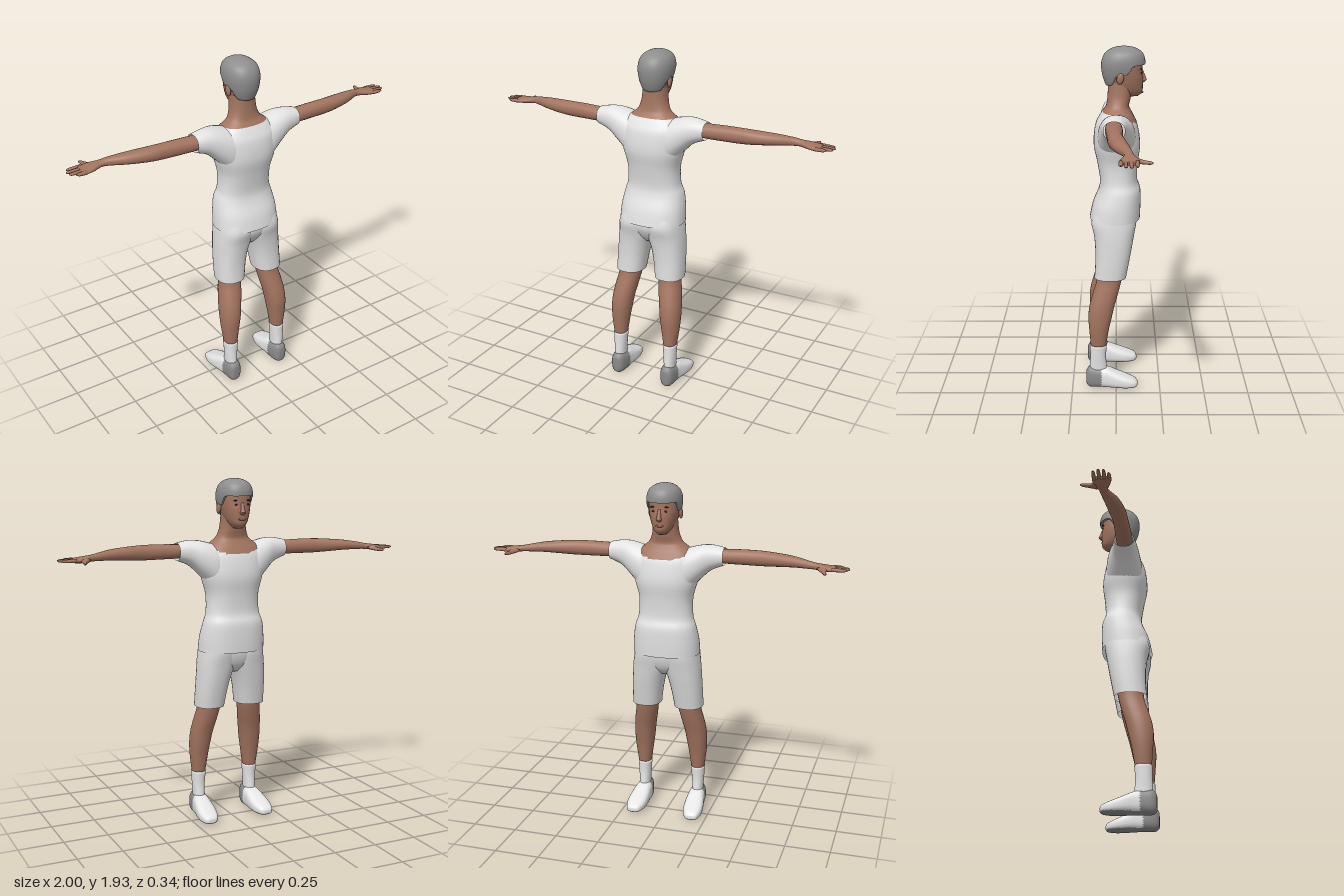
import * as THREE from 'three';

const mat = (name, color, side = THREE.DoubleSide) => {
  const m = new THREE.MeshStandardMaterial({ color, side });
  m.name = name;
  return m;
};

// Smooth interpolation of the rows of a cross-section table
function refine(rows, sub) {
  const out = [];
  const at = i => rows[Math.min(Math.max(i, 0), rows.length - 1)];
  for (let i = 0; i < rows.length - 1; i++) {
    for (let k = 0; k < sub; k++) {
      const t = k / sub;
      out.push(rows[i].map((b, c) => {
        const a = at(i - 1)[c], d = at(i + 1)[c], e = at(i + 2)[c];
        return b + 0.5 * t * (d - a + t * (2 * a - 5 * b + 4 * d - e + t * (3 * (b - d) + e - a)));
      }));
    }
  }
  out.push(rows[rows.length - 1]);
  return out;
}

// Tube through rows of [t, uMin, uMax, vMin, vMax]; t runs along the axis.
// (u, v) are (x, z) for axis y, (y, z) for axis x and (x, y) for axis z.
function loft(name, materials, rows, o = {}) {
  const { axis = 'y', side = 1, n = 28, sub = 4, p = 0.9, caps = true, pick, warp } = o;
  const rings = refine(rows, sub), pos = [], tris = [];
  const put = (u, t, v) => {
    const q = axis === 'y' ? [u, t, v] : axis === 'x' ? [t, u, v] : [u, v, t];
    if (warp) warp(q);
    pos.push(q[0] * side, q[1], q[2]);
  };
  const pow = w => Math.sign(w) * Math.abs(w) ** p;
  for (const [t, u0, u1, v0, v1] of rings) {
    for (let j = 0; j < n; j++) {
      const a = (j / n) * Math.PI * 2;
      put((u0 + u1) / 2 + (u1 - u0) / 2 * pow(Math.cos(a)), t, (v0 + v1) / 2 + (v1 - v0) / 2 * pow(Math.sin(a)));
    }
  }
  const flip = (axis !== 'y') !== (side < 0);
  const tri = (a, b, c) => tris.push(flip ? [a, c, b] : [a, b, c]);
  for (let i = 0; i < rings.length - 1; i++) {
    for (let j = 0; j < n; j++) {
      const a = i * n + j, b = i * n + (j + 1) % n;
      tri(a, a + n, b);
      tri(b, a + n, b + n);
    }
  }
  if (caps) {
    for (const i of [0, rings.length - 1]) {
      const [t, u0, u1, v0, v1] = rings[i], centre = pos.length / 3;
      put((u0 + u1) / 2, t, (v0 + v1) / 2);
      for (let j = 0; j < n; j++) {
        const a = i * n + j, b = i * n + (j + 1) % n;
        if (i === 0) tri(centre, a, b); else tri(centre, b, a);
      }
    }
  }
  const geo = new THREE.BufferGeometry();
  geo.setAttribute('position', new THREE.Float32BufferAttribute(pos, 3));
  if (pick) {
    // Sort faces into one group per material by their centre
    const sets = materials.map(() => []);
    const mid = (f, k) => (pos[f[0] * 3 + k] + pos[f[1] * 3 + k] + pos[f[2] * 3 + k]) / 3;
    for (const f of tris) sets[pick(mid(f, 0), mid(f, 1), mid(f, 2))].push(...f);
    let start = 0;
    sets.forEach((s, i) => { geo.addGroup(start, s.length, i); start += s.length; });
    geo.setIndex(sets.flat());
  } else geo.setIndex(tris.flat());
  geo.computeVertexNormals();
  const mesh = new THREE.Mesh(geo, materials);
  mesh.name = name;
  return mesh;
}

function blob(name, material, pos, scale, rot = [0, 0, 0]) {
  const m = new THREE.Mesh(new THREE.SphereGeometry(1, 16, 12), material);
  m.name = name;
  m.position.set(...pos);
  m.scale.set(...scale);
  m.rotation.set(...rot);
  return m;
}

export function createModel() {
  const g = new THREE.Group();
  g.name = 'standingMan';
  const skin = mat('skin', 0xa3745f), shirt = mat('shirtWhite', 0xe2e2e2), shorts = mat('shortsWhite', 0xdcdcdc);
  const hair = mat('hairGrey', 0x8e8e8e), shoe = mat('shoeWhite', 0xe6e6e6), heel = mat('shoeGrey', 0x8a8a8a);
  const dark = mat('browDark', 0x3a2e2a), lip = mat('lips', 0x8a5b4c);

  // Shirt body running into the neck, with a scooped neckline at the front (-z)
  g.add(loft('shirtAndNeck', [shirt, skin], [
    [0.98, -0.187, 0.187, -0.133, 0.148], [1.06, -0.183, 0.183, -0.136, 0.13], [1.14, -0.17, 0.17, -0.134, 0.098],
    [1.2, -0.152, 0.152, -0.116, 0.09], [1.3, -0.15, 0.15, -0.12, 0.105], [1.4, -0.175, 0.175, -0.132, 0.124],
    [1.5, -0.182, 0.182, -0.117, 0.115], [1.55, -0.165, 0.165, -0.096, 0.092], [1.585, -0.12, 0.12, -0.078, 0.07],
    [1.61, -0.092, 0.092, -0.07, 0.055], [1.65, -0.075, 0.075, -0.078, 0.048], [1.7, -0.068, 0.068, -0.086, 0.045],
    [1.75, -0.065, 0.065, -0.09, 0.045],
  ], { n: 48, sub: 5, caps: false, p: 0.85, pick: (x, y, z) => (y > 1.577 + 0.6 * Math.min(0, z + 0.02) ? 1 : 0) }));

  // Centre of the shorts
  g.add(loft('shortsSeat', shorts, [
    [0.86, -0.05, 0.05, -0.05, 0.07], [0.9, -0.13, 0.13, -0.088, 0.105], [0.96, -0.17, 0.17, -0.108, 0.13],
    [1.03, -0.165, 0.165, -0.11, 0.115],
  ]));

  for (const side of [1, -1]) {
    const pre = side > 0 ? 'left' : 'right';
    const add = (part, m, rows, o) => g.add(loft(pre + part, m, rows, { side, ...o }));

    add('Sleeve', shirt, [
      [0.09, 1.32, 1.57, -0.1, 0.1], [0.13, 1.345, 1.58, -0.104, 0.1], [0.19, 1.405, 1.595, -0.088, 0.09],
      [0.25, 1.46, 1.599, -0.062, 0.078], [0.322, 1.49, 1.586, -0.046, 0.066],
    ], { axis: 'x', caps: false });

    // Arm down to the palm
    add('Arm', skin, [
      [0.25, 1.51, 1.575, -0.03, 0.055], [0.32, 1.502, 1.579, -0.035, 0.058], [0.42, 1.501, 1.582, -0.035, 0.052],
      [0.52, 1.501, 1.582, -0.037, 0.045], [0.6, 1.505, 1.578, -0.05, 0.038], [0.7, 1.512, 1.57, -0.066, 0.012],
      [0.78, 1.515, 1.558, -0.079, -0.028], [0.82, 1.515, 1.55, -0.085, -0.037], [0.87, 1.51, 1.543, -0.106, -0.02],
      [0.91, 1.511, 1.537, -0.109, -0.011], [0.932, 1.515, 1.533, -0.107, -0.012],
    ], { axis: 'x', n: 20 });

    // Fingers and thumb
    [[-0.098, 0.988], [-0.071, 1], [-0.045, 0.995], [-0.021, 0.968]].forEach(([z, tip], i) =>
      add('Finger' + (i + 1), skin, [
        [0.91, 1.514, 1.536, z - 0.011, z + 0.011], [0.95, 1.516, 1.534, z - 0.01, z + 0.01],
        [tip - 0.01, 1.518, 1.532, z - 0.008, z + 0.008], [tip, 1.523, 1.528, z - 0.003, z + 0.003],
      ], { axis: 'x', n: 10, sub: 2 }));
    add('Thumb', skin, [
      [-0.172, 0.882, 0.889, 1.513, 1.519], [-0.16, 0.875, 0.892, 1.508, 1.524], [-0.125, 0.86, 0.885, 1.507, 1.528],
      [-0.09, 0.832, 0.89, 1.512, 1.538],
    ], { axis: 'z', n: 12, sub: 3 });

    add('ShortsLeg', shorts, [
      [0.66, 0.043, 0.204, -0.056, 0.122], [0.75, 0.03, 0.202, -0.073, 0.116], [0.83, 0.012, 0.198, -0.088, 0.117],
      [0.9, -0.01, 0.193, -0.1, 0.124], [0.97, -0.012, 0.183, -0.112, 0.138], [1.03, -0.01, 0.17, -0.112, 0.12],
    ], { caps: false, p: 0.85 });
    add('Leg', skin, [
      [0.25, 0.126, 0.198, 0.058, 0.144], [0.35, 0.112, 0.211, 0.042, 0.152], [0.43, 0.1, 0.215, 0.024, 0.157],
      [0.5, 0.09, 0.212, 0.008, 0.149], [0.57, 0.076, 0.202, -0.012, 0.13], [0.65, 0.062, 0.188, -0.032, 0.107],
      [0.75, 0.05, 0.185, -0.05, 0.1],
    ]);
    add('Sock', shoe, [
      [0.07, 0.132, 0.192, 0.05, 0.15], [0.13, 0.132, 0.194, 0.054, 0.15], [0.19, 0.128, 0.198, 0.058, 0.148],
      [0.26, 0.122, 0.202, 0.053, 0.149],
    ]);

    // Shoe with a grey heel counter and sole
    add('Shoe', [shoe, heel], [
      [-0.122, 0.155, 0.195, 0.015, 0.034], [-0.108, 0.135, 0.213, 0.005, 0.05], [-0.06, 0.117, 0.225, 0, 0.071],
      [0, 0.112, 0.222, 0, 0.096], [0.055, 0.115, 0.212, 0, 0.12], [0.1, 0.115, 0.207, 0, 0.123],
      [0.15, 0.125, 0.2, 0, 0.125], [0.17, 0.143, 0.183, 0.018, 0.1],
    ], { axis: 'z', n: 36, p: 0.72, pick: (x, y, z) => (z > 0.085 || y < 0.012 ? 1 : 0) });

    // Ear, eye and brow
    g.add(blob(pre + 'Ear', skin, [side * 0.085, 1.768, -0.022], [0.011, 0.032, 0.019], [-0.2, 0, 0]));
    g.add(blob(pre + 'Eye', dark, [side * 0.032, 1.79, -0.134], [0.012, 0.005, 0.004], [0, side * 0.35, 0]));
    g.add(blob(pre + 'Brow', dark, [side * 0.034, 1.812, -0.133], [0.02, 0.004, 0.005], [0, side * 0.4, 0]));
  }

  // Head, nose and mouth
  g.add(loft('head', skin, [
    [1.662, -0.025, 0.025, -0.12, -0.02], [1.685, -0.047, 0.047, -0.141, 0.02], [1.72, -0.064, 0.064, -0.144, 0.045],
    [1.76, -0.075, 0.075, -0.145, 0.058], [1.8, -0.082, 0.082, -0.141, 0.066], [1.85, -0.082, 0.082, -0.139, 0.066],
    [1.89, -0.066, 0.066, -0.115, 0.045], [1.905, -0.03, 0.03, -0.07, 0.01],
  ]));
  g.add(loft('nose', skin, [
    [1.735, -0.009, 0.009, -0.15, -0.13], [1.747, -0.016, 0.016, -0.163, -0.13], [1.758, -0.012, 0.012, -0.162, -0.13],
    [1.8, -0.007, 0.007, -0.145, -0.13],
  ], { n: 14 }));
  g.add(blob('mouth', lip, [0, 1.712, -0.14], [0.023, 0.007, 0.006]));

  // Short hair: low at the nape, above the ears, fringe over the brow
  const step = THREE.MathUtils.smoothstep;
  const rim = (x, z) => 1.835 - 0.05 * step(z, -0.1, -0.055) - 0.068 * step(z, -0.01, 0.025) + 0.15 * Math.abs(x) * step(z, -0.01, 0.025);
  g.add(loft('hair', hair, [
    [1.705, -0.055, 0.055, -0.1, 0.045], [1.735, -0.072, 0.072, -0.13, 0.062], [1.78, -0.087, 0.087, -0.148, 0.076],
    [1.83, -0.094, 0.094, -0.156, 0.081], [1.87, -0.09, 0.09, -0.153, 0.073], [1.9, -0.075, 0.075, -0.136, 0.052],
    [1.92, -0.046, 0.046, -0.1, 0.016], [1.928, -0.016, 0.016, -0.062, -0.022],
  ], { n: 44, sub: 5, warp: q => { q[1] = Math.max(q[1], rim(q[0], q[2])); } }));
  return g;
}
